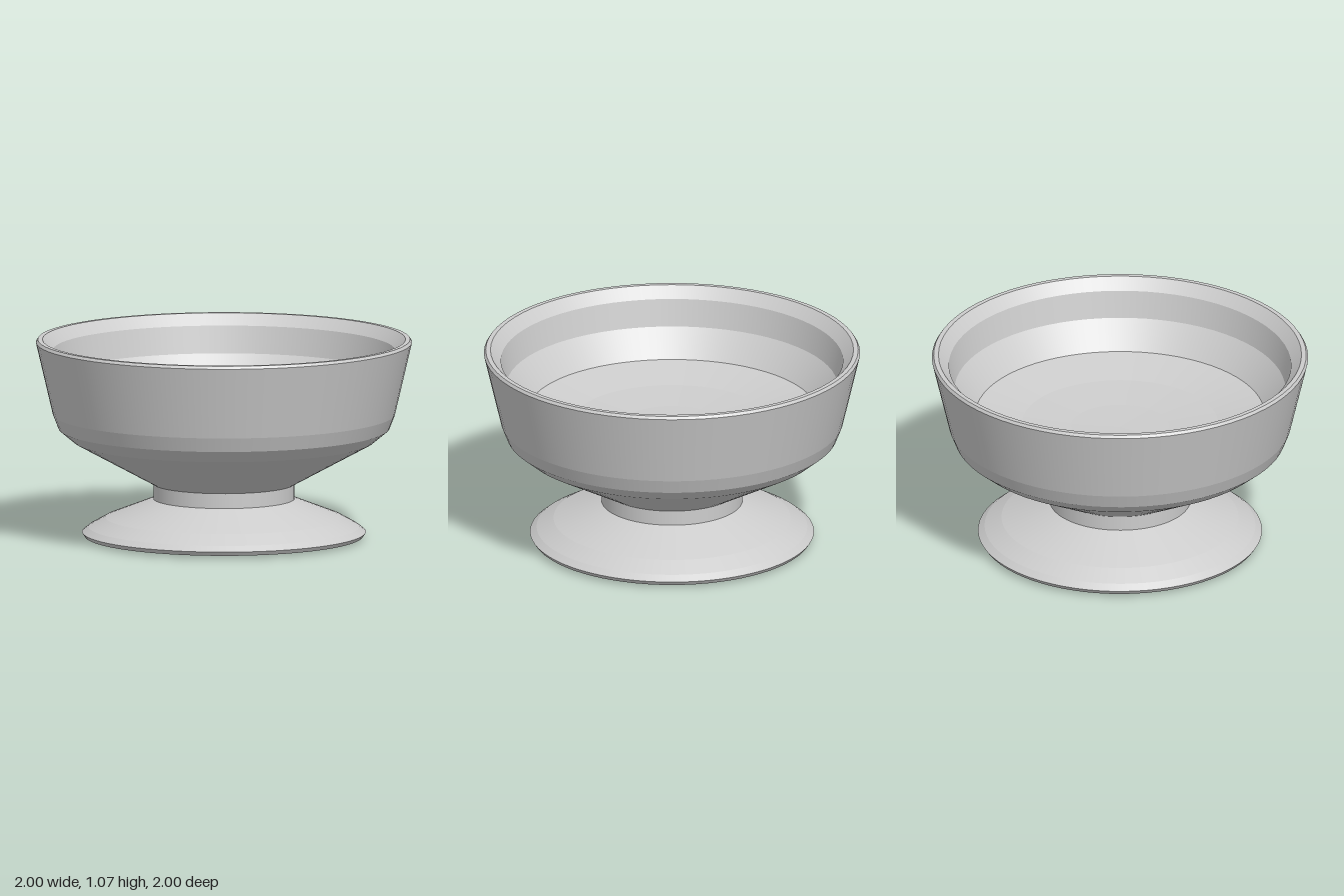
import * as THREE from 'three';
import { mergeGeometries } from 'three/addons/utils/BufferGeometryUtils.js';

const SEGMENTS = 72;

// Revolves each profile step separately: smooth around, crisp between bands
function bandedLathe(profile) {
  const bands = [];
  for (let i = 0; i < profile.length - 1; i++) {
    const pair = [profile[i], profile[i + 1]].map(([r, y]) => new THREE.Vector2(r, y));
    bands.push(new THREE.LatheGeometry(pair, SEGMENTS));
  }
  return mergeGeometries(bands);
}

export function createModel() {
  const group = new THREE.Group();
  group.name = 'footedBowl';
  const grey = new THREE.MeshStandardMaterial({ color: 0xcccccc });
  grey.name = 'light grey';

  const parts = {
    // Flared foot with a thin rolled edge
    foot: [[0, 0], [0.54, 0], [0.74, 0.015], [0.755, 0.037], [0.72, 0.065], [0.63, 0.115], [0.375, 0.215]],
    // Short cylindrical stem
    neck: [[0.375, 0.215], [0.375, 0.295]],
    // Outer wall
    bowlOutside: [[0.375, 0.295], [0.8, 0.527], [0.88, 0.593], [0.91, 0.67], [1, 1.055]],
    // Narrow lip with a sloped inner edge
    rim: [[1, 1.055], [0.99, 1.07], [0.965, 1.07], [0.91, 1.01]],
    // Inner wall
    bowlInside: [[0.91, 1.01], [0.88, 0.865], [0.768, 0.72]],
    // Slightly dished floor
    bowlFloor: [[0.768, 0.72], [0.52, 0.67], [0.26, 0.65], [0, 0.645]],
  };

  for (const [name, profile] of Object.entries(parts)) {
    const mesh = new THREE.Mesh(bandedLathe(profile), grey);
    mesh.name = name;
    group.add(mesh);
  }
  return group;
}
